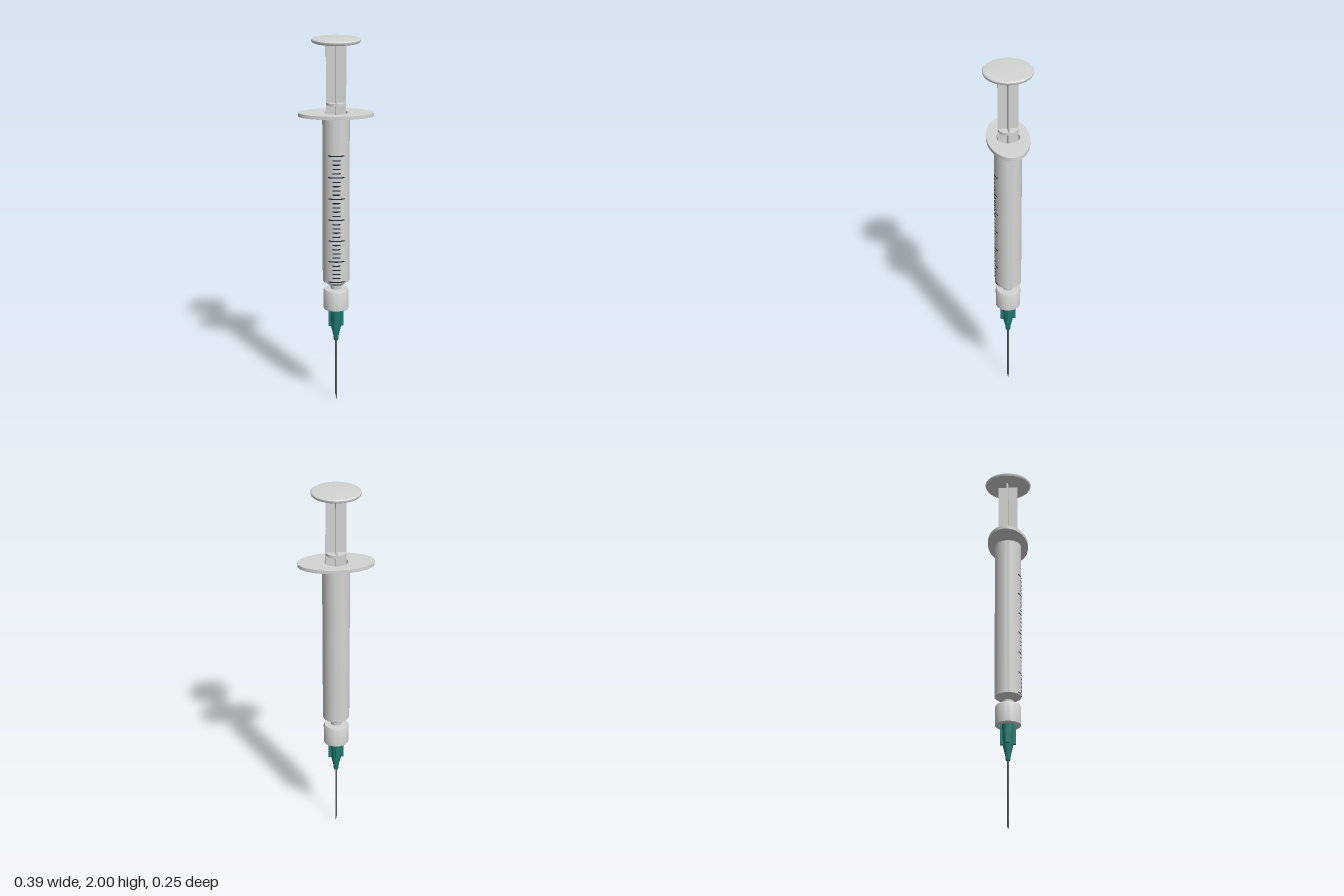
import * as THREE from 'three';
import { toCreasedNormals } from 'three/addons/utils/BufferGeometryUtils.js';

const material = (name, color) => {
  const m = new THREE.MeshStandardMaterial({ color });
  m.name = name;
  return m;
};

export function createModel() {
  const model = new THREE.Group();
  model.name = 'syringe';

  const clear = material('pale grey plastic', 0xd3d5d3);
  const green = material('teal plastic', 0x1f7a70);
  const steel = material('needle steel', 0x58595b);
  const ink = material('scale ink', 0x17242c);
  ink.side = THREE.DoubleSide;
  const rubber = material('black rubber', 0x2a2a2a);

  const add = (name, geometry, mat, parent = model) => {
    const mesh = new THREE.Mesh(geometry, mat);
    mesh.name = name;
    parent.add(mesh);
    return mesh;
  };
  // Profile of [radius, y] pairs, outer side running upwards
  const turned = (name, profile, mat, parent) => {
    const points = profile.map(([r, y]) => new THREE.Vector2(r, y));
    return add(name, toCreasedNormals(new THREE.LatheGeometry(points, 48), 0.6), mat, parent);
  };
  // Two crossed plates
  const crossed = (name, halfWidth, thickness, y0, y1, mat, parent) => {
    for (const turn of [0, Math.PI / 2]) {
      const g = new THREE.BoxGeometry(halfWidth * 2, y1 - y0, thickness);
      g.translate(0, (y0 + y1) / 2, 0).rotateY(turn);
      add(name, g, mat, parent);
    }
  };

  // Hollow barrel with tapered shoulder and nozzle
  turned('barrel', [
    [0, 0.60], [0.024, 0.60], [0.03, 0.68], [0.042, 0.682], [0.071, 0.702],
    [0.071, 1.605], [0.06, 1.605], [0.06, 0.715], [0, 0.70],
  ], clear);

  // Oval finger flange with a bore for the plunger
  const oval = new THREE.Shape();
  oval.absellipse(0, 0, 0.196, 0.109, 0, Math.PI * 2);
  const bore = new THREE.Path();
  bore.absarc(0, 0, 0.06, 0, Math.PI * 2, true);
  oval.holes.push(bore);
  const flange = new THREE.ExtrudeGeometry(oval, { depth: 0.018, bevelEnabled: false, curveSegments: 48 });
  flange.rotateX(-Math.PI / 2).translate(0, 1.597, 0);
  add('fingerFlange', toCreasedNormals(flange, 0.6), clear);

  // Locking collar, open underneath
  turned('lockCollar', [
    [0.043, 0.60], [0.043, 0.542], [0.064, 0.542], [0.067, 0.546],
    [0.067, 0.645], [0.062, 0.655], [0.025, 0.655],
  ], clear);
  turned('collarCeiling', [[0, 0.60], [0.045, 0.60], [0.045, 0.61]], clear);

  // Plunger: domed thumb rest, crossed ribs, guide disc and seal
  const plunger = new THREE.Group();
  plunger.name = 'plunger';
  model.add(plunger);
  turned('thumbRest', [
    [0, 1.974], [0.114, 1.974], [0.122, 1.977], [0.126, 1.984], [0.126, 1.99],
    [0.121, 1.995], [0.09, 1.9975], [0.045, 1.9993], [0, 2],
  ], clear, plunger);
  crossed('plungerRib', 0.052, 0.009, 0.84, 1.976, clear, plunger);
  turned('guideDisc', [[0, 1.655], [0.052, 1.655], [0.052, 1.668], [0, 1.668]], clear, plunger);
  turned('plungerSeal', [[0, 0.76], [0.059, 0.78], [0.059, 0.84], [0, 0.84]], rubber, plunger);

  // Needle hub with four grip fins
  const hub = new THREE.Group();
  hub.name = 'needleHub';
  model.add(hub);
  turned('hubCore', [
    [0, 0.355], [0.011, 0.355], [0.013, 0.362], [0.014, 0.38], [0.026, 0.432],
    [0.031, 0.545], [0.031, 0.6], [0, 0.6],
  ], green, hub);
  crossed('gripFin', 0.041, 0.016, 0.44, 0.58, green, hub);

  // Needle with a slanted tip
  const radius = 0.0045;
  const needle = new THREE.CylinderGeometry(radius, radius, 0.37, 16);
  needle.translate(0, 0.185, 0);
  const p = needle.attributes.position;
  for (let i = 0; i < p.count; i++) {
    if (p.getY(i) < 0.01) p.setY(i, (radius - p.getX(i)) / (2 * radius) * 0.035);
  }
  add('needle', toCreasedNormals(needle, 0.6), steel);

  // Printed scale, curved around the front of the barrel
  const scale = new THREE.Group();
  scale.name = 'scale';
  model.add(scale);
  for (let i = 0; i <= 30; i++) {
    const major = i % 5 === 0;
    const angle = Math.asin((major ? 0.042 : 0.021) / 0.0718);
    const mark = new THREE.CylinderGeometry(0.0718, 0.0718, 0.006, 12, 1, true, -angle, angle * 2);
    mark.translate(0, 0.711 + i * 0.02293, 0);
    add(major ? 'majorMark' : 'minorMark', mark, ink, scale);
  }

  return model;
}
